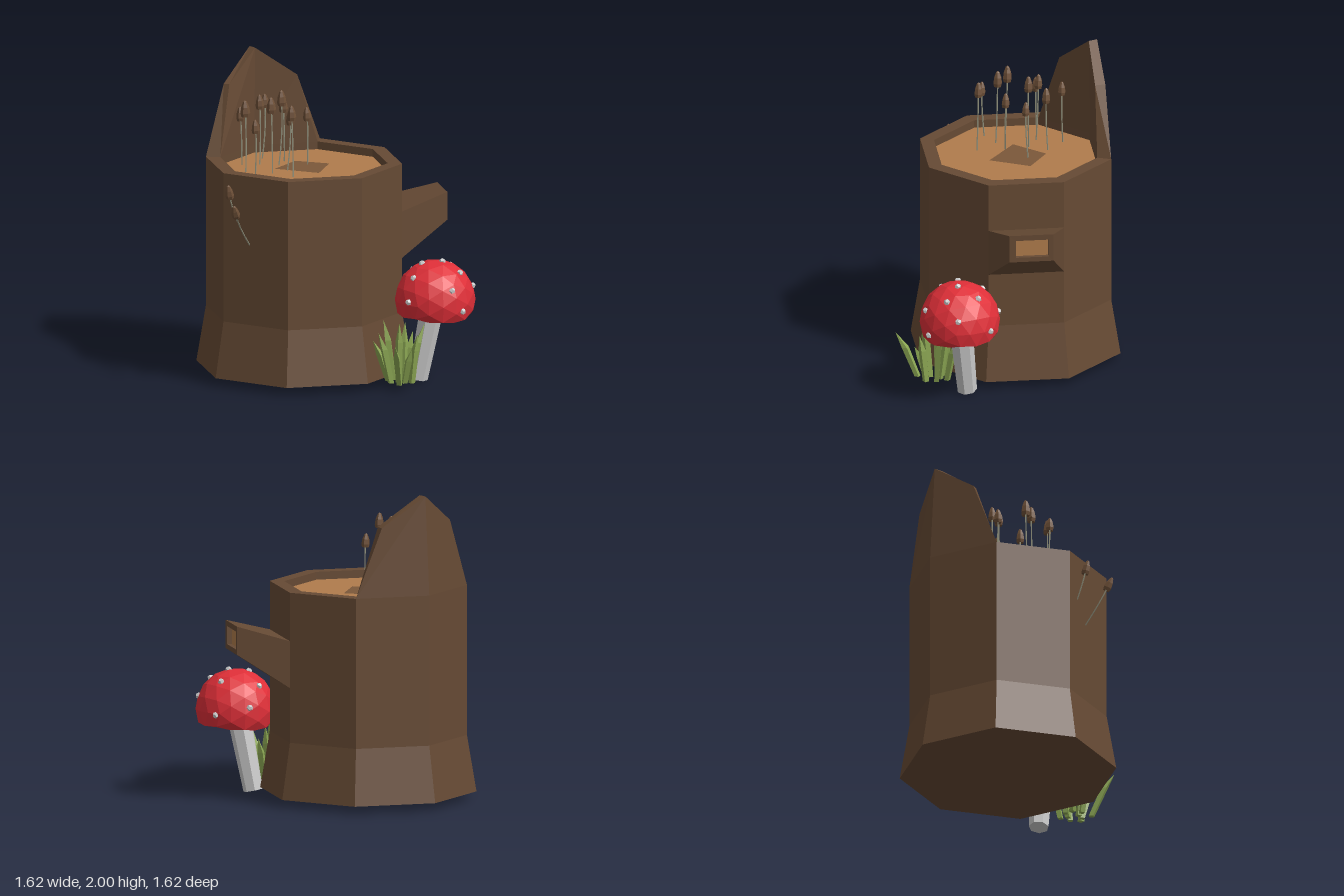
import * as THREE from 'three';

const V = (x, y, z) => new THREE.Vector3(x, y, z);
const mat = (color, side = THREE.FrontSide) =>
  new THREE.MeshStandardMaterial({ color, flatShading: true, side });
const bark = mat(0x664a34), wood = mat(0xb07c4c), darkWood = mat(0x7c583a), red = mat(0xdf2f38, THREE.DoubleSide);
const grey = mat(0xcccccc), grassGreen = mat(0x8ba653), brown = mat(0x6e5038), stalk = mat(0x9a9a84);

function add(parent, name, geometry, material) {
  const mesh = new THREE.Mesh(geometry, material);
  mesh.name = name;
  parent.add(mesh);
  return mesh;
}

// Flat polygons, each fanned into triangles
function polygons(faces) {
  const points = [];
  for (const f of faces)
    for (let i = 1; i < f.length - 1; i++) points.push(f[0], f[i], f[i + 1]);
  const g = new THREE.BufferGeometry().setFromPoints(points);
  g.computeVertexNormals();
  return g;
}

// Quads between consecutive rings (closed) or rows (open)
function strips(rings, closed = true) {
  const faces = [];
  for (let k = 0; k < rings.length - 1; k++) {
    const a = rings[k], b = rings[k + 1], n = a.length;
    for (let i = 0; i < (closed ? n : n - 1); i++) {
      const j = (i + 1) % n;
      faces.push([a[i], a[j], b[j], b[i]]);
    }
  }
  return faces;
}
const reversed = (ring) => [...ring].reverse();

function octagon(r, y) {
  return Array.from({ length: 8 }, (_, i) => {
    const a = THREE.MathUtils.degToRad(-93 + 45 * i);
    return V(-0.085 + r * Math.cos(a), y, -0.122 + r * Math.sin(a));
  });
}

function makeStump() {
  const g = new THREE.Group();
  g.name = 'stump';
  const floor = octagon(0.535, 1.32), inner = octagon(0.535, 1.37);
  const outer = octagon(0.627, 1.37), foot = octagon(0.688, 0.05);
  // Hollow rim, straight wall and flared foot
  add(g, 'trunk', polygons([...strips([floor, inner, outer, octagon(0.627, 0.41), foot]), foot]), bark);
  add(g, 'cutTop', polygons([reversed(floor)]), wood);
  add(g, 'centrePatch', polygons([[V(-0.09, 1.323, 0.06), V(0.11, 1.323, -0.13),
    V(-0.03, 1.323, -0.31), V(-0.26, 1.323, -0.19)]]), darkWood);

  // Splintered peak rising from the back of the rim
  const order = [7, 0, 1];
  const iLow = order.map((i) => inner[i]), oLow = order.map((i) => outer[i]);
  const iTop = [V(-0.36, 1.81, -0.565), V(-0.112, 2, -0.65), V(0.15, 1.81, -0.565)];
  const oTop = [V(-0.38, 1.81, -0.6), V(-0.114, 2, -0.71), V(0.165, 1.81, -0.63)];
  add(g, 'backSplinter', polygons([
    ...strips([iLow, iTop, oTop, oLow], false),
    [oLow[2], oTop[2], iTop[2], iLow[2]],
    [iLow[0], iTop[0], oTop[0], oLow[0]],
  ]), bark);

  // Sawn branch growing out of one facet
  const ring = (a, b, y0, y1) => [V(a[0], y1, a[1]), V(b[0], y1, b[1]), V(b[0], y0, b[1]), V(a[0], y0, a[1])];
  const base = ring([outer[3].x, outer[3].z], [outer[2].x, outer[2].z], 0.76, 1.06);
  const end = ring([0.71, 0.315], [0.805, 0.05], 0.97, 1.15);
  const lip = ring([0.724, 0.275], [0.794, 0.08], 1.0, 1.115);
  const recess = lip.map((p) => p.clone().add(V(-0.028, 0, -0.01)));
  add(g, 'branch', polygons(strips([recess, lip, end, base])), bark);
  add(g, 'branchCut', polygons([reversed(recess)]), wood);
  return g;
}

function makeToadstool() {
  const g = new THREE.Group();
  g.name = 'redToadstool';
  const c = V(0.47, 0.53, 0.545), R = 0.255;
  // Sphere with its underside folded up into a hollow
  const cap = new THREE.IcosahedronGeometry(R, 2);
  const p = cap.attributes.position;
  for (let i = 0; i < p.count; i++)
    if (p.getY(i) < -0.12) p.setY(i, -0.12 + (-0.12 - p.getY(i)) * 0.5);
  cap.computeVertexNormals();
  add(g, 'cap', cap, red).position.copy(c);

  // Warts, given as directions from the cap centre
  const warts = [[-0.18, 0.16, 0.035], [-0.08, 0.23, -0.025], [0.035, 0.25, 0.03], [0.15, 0.19, -0.055],
    [0.095, 0.18, 0.135], [0.21, 0.085, 0.115], [-0.02, 0.1, 0.23], [0.05, -0.04, 0.24],
    [0.23, -0.01, -0.105], [-0.23, 0.02, 0.06], [-0.05, 0.16, -0.18], [0.06, 0.04, -0.24]];
  warts.forEach((w, i) => {
    const m = add(g, 'wart', new THREE.DodecahedronGeometry(0.021), grey);
    m.position.copy(V(...w).setLength(R * 0.98)).add(c);
    m.rotation.set(i, i * 2, i * 3);
  });

  // Leaning seven-sided stem
  const a = V(0.395, 0.012, 0.458), b = V(0.455, 0.5, 0.535), d = b.clone().sub(a);
  const stem = add(g, 'stem', new THREE.CylinderGeometry(0.078, 0.064, d.length(), 7), grey);
  stem.position.copy(a).add(b).multiplyScalar(0.5);
  stem.quaternion.setFromUnitVectors(V(0, 1, 0), d.normalize());
  return g;
}

function makeGrass() {
  const g = new THREE.Group();
  g.name = 'grass';
  // Each blade: base x, z then tip x, y, z
  const blades = [[0.12, 0.67, 0.02, 0.32, 0.775], [0.11, 0.59, 0.02, 0.37, 0.585], [0.13, 0.53, 0.04, 0.3, 0.49],
    [0.18, 0.51, 0.15, 0.41, 0.44], [0.16, 0.6, 0.14, 0.43, 0.64], [0.22, 0.56, 0.26, 0.4, 0.52],
    [0.25, 0.6, 0.34, 0.4, 0.62], [0.22, 0.66, 0.23, 0.36, 0.71], [0.26, 0.53, 0.33, 0.33, 0.5], [0.18, 0.64, 0.18, 0.27, 0.72]];
  blades.forEach(([bx, bz, tx, ty, tz], n) => {
    const path = new THREE.QuadraticBezierCurve3(V(bx, 0.04, bz),
      V(bx + (tx - bx) * 0.3, ty * 0.6, bz + (tz - bz) * 0.3), V(tx, ty, tz));
    const rings = [[1, 0.001], [0.65, 0.025], [0, 0.021]].map(([t, r]) => {
      const c = path.getPoint(t);
      return Array.from({ length: 4 }, (_, i) => {
        const a = n + i * Math.PI / 2;
        return V(c.x + r * Math.cos(a), c.y, c.z + r * Math.sin(a));
      });
    });
    add(g, 'blade', polygons([...strips(rings), rings[2]]), grassGreen);
  });
  return g;
}

// Thin curved stalk with a pointed bell cap; tip is the top of the cap
function makeSmallMushroom(root, tip, size, bend) {
  const g = new THREE.Group();
  g.name = 'smallMushroom';
  const dir = tip.clone().sub(bend).normalize();
  const capBase = tip.clone().addScaledVector(dir, -0.1 * size);
  const path = new THREE.QuadraticBezierCurve3(root, bend, capBase.clone().addScaledVector(dir, 0.02));
  add(g, 'stalk', new THREE.TubeGeometry(path, 5, 0.005, 4), stalk);
  const profile = [[0, 0.008], [0.024, 0], [0.029, 0.022], [0.024, 0.058], [0.012, 0.09], [0, 0.1]]
    .map(([r, y]) => new THREE.Vector2(r * size, y * size));
  const cap = add(g, 'bellCap', new THREE.LatheGeometry(profile, 6), brown);
  cap.position.copy(capBase);
  cap.quaternion.setFromUnitVectors(V(0, 1, 0), dir);
  return g;
}

export function createModel() {
  const model = new THREE.Group();
  model.name = 'mushroomStump';
  model.add(makeStump(), makeToadstool(), makeGrass());

  // Cluster on the cut top: cap x, y, z and size
  const cluster = [[-0.38, 1.7, -0.41, 0.95], [-0.26, 1.77, -0.37, 0.95], [-0.15, 1.74, -0.48, 0.9],
    [-0.1, 1.74, -0.345, 1], [-0.45, 1.78, -0.245, 1.08], [-0.17, 1.81, -0.255, 1.03], [-0.035, 1.7, -0.17, 0.9],
    [-0.335, 1.81, -0.12, 1.05], [-0.2, 1.71, -0.11, 0.95], [-0.48, 1.69, -0.08, 0.9], [-0.285, 1.78, 0.04, 0.98]];
  cluster.forEach(([x, y, z, s], i) => {
    const root = V(x + 0.015 * Math.cos(i * 2), 1.32, z + 0.015 * Math.sin(i * 2));
    model.add(makeSmallMushroom(root, V(x, y, z), s, V(x + 0.008, 1.52, z + 0.008)));
  });

  // Pair on the side of the trunk
  model.add(makeSmallMushroom(V(-0.66, 1.06, 0.0), V(-0.75, 1.32, 0.025), 0.95, V(-0.715, 1.17, 0.01)));
  model.add(makeSmallMushroom(V(-0.63, 0.93, 0.09), V(-0.805, 1.22, 0.175), 0.95, V(-0.735, 1.06, 0.13)));
  return model;
}
